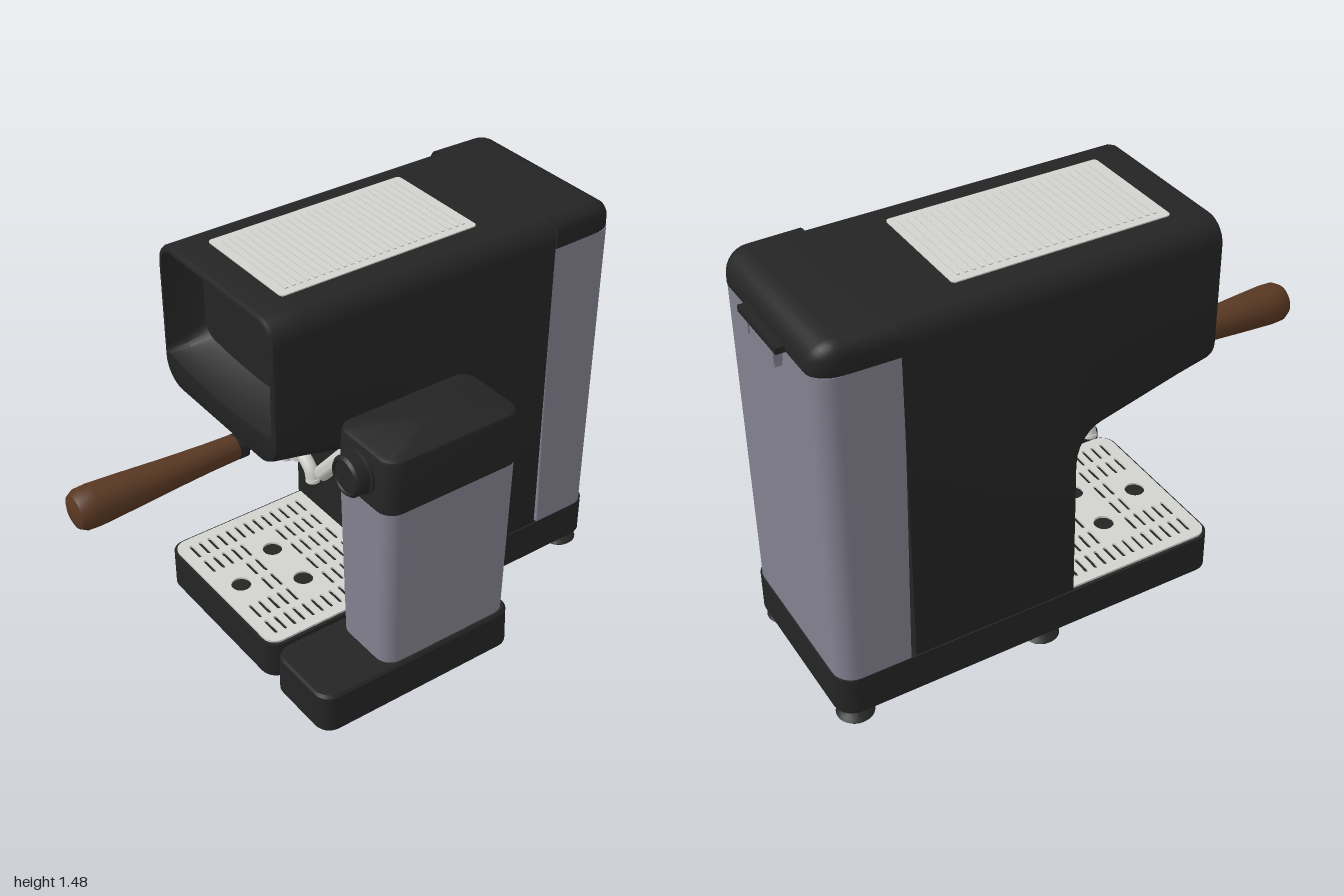
import * as THREE from 'three';
import { mergeGeometries, toCreasedNormals } from 'three/addons/utils/BufferGeometryUtils.js';

const mat = (name, color) => Object.assign(new THREE.MeshStandardMaterial({ color }), { name });

// Outline of a rounded rectangle, counter-clockwise; the bottom edge may sag
function outline(x0, x1, y0, y1, rTop, rBottom, sag = 0) {
  const most = Math.min(x1 - x0, y1 - y0) / 2;
  const rt = Math.min(rTop, most), rb = Math.min(rBottom, most), pts = [];
  const corner = (cx, cy, r, start) => {
    for (let i = 0; i <= 7; i++) {
      const a = start + (i / 7) * Math.PI / 2;
      pts.push([cx + r * Math.cos(a), cy + r * Math.sin(a)]);
    }
  };
  corner(x1 - rb, y0 + rb, rb, -Math.PI / 2);
  corner(x1 - rt, y1 - rt, rt, 0);
  corner(x0 + rt, y1 - rt, rt, Math.PI / 2);
  corner(x0 + rb, y0 + rb, rb, Math.PI);
  for (let i = 1; i < 10; i++) pts.push([x0 + rb + (x1 - x0 - 2 * rb) * i / 10, y0]);
  const cx = (x0 + x1) / 2, hw = (x1 - x0) / 2;
  return pts.map(([x, y]) => [x, y < (y0 + y1) / 2 ? y - sag * (1 - ((x - cx) / hw) ** 2) : y]);
}

// Skin over sections [z, x0, x1, y0, y1, rTop, rBottom, sag], closed at both ends
function loft(sections, crease = 0.6) {
  const pos = [], idx = [], rings = sections.map(([, ...s]) => outline(...s)), n = rings[0].length;
  rings.forEach((ring, i) => ring.forEach(([x, y]) => pos.push(x, y, sections[i][0])));
  for (let i = 0; i < rings.length - 1; i++) {
    for (let j = 0; j < n; j++) {
      const a = i * n + j, b = i * n + (j + 1) % n;
      idx.push(a, b, b + n, a, b + n, a + n);
    }
  }
  [0, rings.length - 1].forEach((i, end) => {
    const [z, x0, x1, y0, y1] = sections[i], c = pos.length / 3;
    pos.push((x0 + x1) / 2, (y0 + y1) / 2, z);
    for (let j = 0; j < n; j++) {
      const a = i * n + j, b = i * n + (j + 1) % n;
      idx.push(c, end ? a : b, end ? b : a);
    }
  });
  const g = new THREE.BufferGeometry();
  g.setAttribute('position', new THREE.Float32BufferAttribute(pos, 3));
  g.setIndex(idx);
  return toCreasedNormals(g, crease);
}

// Upright block from levels [y, x0, x1, z0, z1, rBack, rFront]
const tower = (levels) => loft(levels.map(([y, x0, x1, z0, z1, rb, rf]) =>
  [y, x0, x1, -z1, -z0, rb, rf])).rotateX(-Math.PI / 2);

const lathe = (pts, seg = 40) => toCreasedNormals(
  new THREE.LatheGeometry(pts.map(([r, y]) => new THREE.Vector2(r, y)), seg), 0.6);

const box = (w, h, d, x, y, z) => new THREE.BoxGeometry(w, h, d).translate(x, y, z);

// Crossed diagonal bars filling a rectangle on the underside
function lattice(x0, z0, nx, nz, cell) {
  const bars = [];
  for (let i = 0; i < nx; i++) for (let j = 0; j < nz; j++) for (const s of [-1, 1]) {
    bars.push(new THREE.BoxGeometry(cell * 1.4, 0.008, 0.01).rotateY(s * Math.PI / 4)
      .translate(x0 + (i + 0.5) * cell, 0.042, z0 + (j + 0.5) * cell));
  }
  return mergeGeometries(bars);
}

export function createModel() {
  const group = new THREE.Group();
  const black = mat('black', 0x242424), smoke = mat('smokyLavender', 0x838190);
  const metal = mat('paleMetal', 0xd2d2ce), wood = mat('walnut', 0x583722);
  const add = (name, geo, material, x = 0, y = 0, z = 0) => {
    const m = new THREE.Mesh(geo, material);
    m.name = name;
    m.position.set(x, y, z);
    group.add(m);
    return m;
  };
  const L = -0.5, R = 0.18, CX = -0.16, TOP = 1.475;

  // Column, overhanging head and the hollow at its front, in one skin
  const body = [[-0.7, L, R, 0.2, TOP, 0.08, 0.01], [-0.1, L, R, 0.2, TOP, 0.08, 0.01]];
  for (let i = 0; i <= 6; i++) {
    const a = (i / 6) * Math.PI / 2;
    body.push([-0.1 + 0.11 * (1 - Math.cos(a)), L, R, 0.73 + 0.12 * Math.sin(a), TOP, 0.08, 0.01 + 0.05 * i / 6]);
  }
  body.push(
    [0.3, L, R, 0.908, TOP, 0.08, 0.09], [0.415, L, R, 0.928, TOP, 0.08, 0.1],
    [0.427, L + 0.004, R - 0.004, 0.932, TOP - 0.004, 0.078, 0.098],
    [0.432, L + 0.012, R - 0.012, 0.94, TOP - 0.012, 0.07, 0.09],
    [0.432, L + 0.022, R - 0.022, 1.052, TOP - 0.022, 0.06, 0.02, 0.025],
    [0.36, L + 0.03, R - 0.03, 1.06, TOP - 0.03, 0.06, 0.03, 0.025],
    [0.3, L + 0.06, R - 0.06, 1.1, TOP - 0.05, 0.06, 0.05, 0.02]);
  add('bodyAndHead', loft(body), black);

  // Rear lid, rounded over the back
  const lid = [];
  for (let i = 0; i <= 8; i++) {
    const a = (i / 8) * Math.PI / 2, s = 1 - Math.sin(a), c = 1 - Math.cos(a);
    lid.push([-0.97 + 0.09 * c, L + 0.07 * s, R - 0.07 * s, 1.37, TOP - 0.08 * s, 0.08, 0.004]);
  }
  lid.push([-0.702, L - 0.004, R + 0.004, 1.37, TOP, 0.08, 0.004]);
  add('rearLid', loft(lid), black);

  // Water tank with its pull tab
  add('waterTank', tower([
    [0.2, L + 0.003, R - 0.003, -0.966, -0.716, 0.07, 0.004],
    [1.372, L, R, -0.968, -0.692, 0.07, 0.004]]), smoke);
  add('tankTab', mergeGeometries([box(0.2, 0.05, 0.025, -0.165, 1.325, -0.98),
    box(0.035, 0.05, 0.03, -0.255, 1.345, -0.982), box(0.035, 0.05, 0.03, -0.075, 1.345, -0.982)]), smoke);
  add('tabHinge', box(0.27, 0.022, 0.035, -0.165, 1.377, -0.9825), black);

  // Main base and feet
  add('base', tower([
    [0.045, L + 0.012, R - 0.012, -0.96, 0.468, 0.06, 0.05],
    [0.057, L, R, -0.972, 0.48, 0.07, 0.06],
    [0.2, L, R, -0.972, 0.48, 0.07, 0.06]]), black);
  const footShape = lathe([[0, 0], [0.058, 0], [0.065, 0.008], [0.055, 0.018], [0.032, 0.028], [0.03, 0.05]], 28);
  for (const x of [-0.435, 0.11]) {
    for (const z of [-0.19, -0.9]) add('foot', footShape, black, x, 0, z);
    add('frontStud', new THREE.CylinderGeometry(0.018, 0.018, 0.02, 16), black, x * 0.8, 0.04, 0.39);
  }
  add('baseLattice', lattice(-0.4, -0.08, 8, 8, 0.06), black);
  add('jugBaseLattice', lattice(0.255, 0.06, 4, 6, 0.045), black);

  // Drip tray grid with slots and three round drains
  const tray = new THREE.Shape(outline(L + 0.012, R - 0.012, -0.47, 0.1, 0.005, 0.05)
    .map(([x, y]) => new THREE.Vector2(x, y)));
  const drains = [[-0.26, 0.18], [-0.06, 0.18], [CX, 0.38]];
  for (const [x, z] of drains) {
    tray.holes.push(new THREE.Path().absarc(x, -z, 0.036, 0, Math.PI * 2, true));
  }
  for (let r = 0; r < 13; r++) for (let c = 0; c < 6; c++) {
    const x = CX + (c - 2.5) * 0.1, z = -0.05 + r * 0.039;
    if (drains.some(([dx, dz]) => Math.abs(dx - x) < 0.085 && Math.abs(dz - z) < 0.05)) continue;
    tray.holes.push(new THREE.Path(outline(x - 0.038, x + 0.038, -z - 0.007, -z + 0.007, 0.007, 0.007)
      .map(([px, py]) => new THREE.Vector2(px, py)).reverse()));
  }
  add('dripGrid', new THREE.ExtrudeGeometry(tray, { depth: 0.008, bevelEnabled: false, curveSegments: 20 })
    .rotateX(-Math.PI / 2), metal, 0, 0.2, 0);

  // Cup warmer plate with fine ridges
  add('warmerPlate', tower([
    [1.472, -0.38, 0.05, -0.465, 0.31, 0.015, 0.015],
    [1.479, -0.38, 0.05, -0.465, 0.31, 0.015, 0.015]]), metal);
  const ridges = [];
  for (let i = 0; i < 26; i++) ridges.push(box(0.37, 0.004, 0.012, -0.165, 1.48, -0.43 + i * 0.028));
  add('warmerRidges', mergeGeometries(ridges), metal);

  // Brew ring, filter basket and twin spout
  const BZ = 0.12;
  add('brewCollar', new THREE.CylinderGeometry(0.17, 0.17, 0.05, 48), black, CX, 0.92, BZ);
  add('brewRing', lathe([[0, 0.868], [0.195, 0.868], [0.21, 0.878], [0.212, 0.91], [0.2, 0.916], [0, 0.916]], 56),
    metal, CX, 0, BZ);
  add('filterBasket', lathe([[0, 0.735], [0.06, 0.74], [0.11, 0.755], [0.143, 0.785], [0.147, 0.87]], 48),
    metal, CX, 0, BZ);
  add('spoutStem', lathe([[0, 0.66], [0.036, 0.665], [0.036, 0.72], [0.045, 0.725], [0.045, 0.745]], 28), metal, CX, 0, BZ);
  const arch = new THREE.CatmullRomCurve3([[-0.082, 0.615], [-0.07, 0.65], [-0.035, 0.678], [0, 0.685],
    [0.035, 0.678], [0.07, 0.65], [0.082, 0.615]].map(([x, y]) => new THREE.Vector3(x, y, 0)));
  const spout = add('twinSpout', new THREE.TubeGeometry(arch, 40, 0.024, 14), metal, CX, 0, BZ);
  spout.material = metal;
  for (const s of [-1, 1]) {
    add('spoutTip', new THREE.CylinderGeometry(0.024, 0.026, 0.012, 16), metal, CX + s * 0.083, 0.615, BZ);
  }

  // Filter handle, pointing forward
  const forward = (pts) => lathe(pts, 32).rotateX(Math.PI / 2);
  add('handleLug', forward([[0, 0.2], [0.045, 0.2], [0.04, 0.28], [0, 0.28]]), metal, -0.152, 0.82, 0);
  add('handleCollar', forward([[0, 0.27], [0.03, 0.27], [0.03, 0.345], [0.045, 0.35], [0.045, 0.385], [0, 0.385]]),
    black, -0.152, 0.82, 0);
  add('handle', forward([[0, 0.37], [0.044, 0.375], [0.048, 0.5], [0.056, 0.65], [0.066, 0.8], [0.073, 0.92],
    [0.071, 0.965], [0.058, 0.988], [0.035, 0.997], [0, 1]]), wood, -0.152, 0.82, 0);

  // Steam wand leaning across to the milk jug
  const from = new THREE.Vector3(0.02, 0.71, 0.15), to = new THREE.Vector3(0.205, 0.93, 0.13);
  const wand = add('steamWand', lathe([[0, 0], [0.024, 0], [0.029, 0.008], [0.03, 0.29], [0, 0.29]], 24), metal);
  wand.position.copy(from);
  wand.quaternion.setFromUnitVectors(new THREE.Vector3(0, 1, 0), to.sub(from).normalize());

  // Milk jug: base, container, lid and front dial
  add('jugBase', tower([
    [0.042, 0.2, 0.49, -0.32, 0.47, 0.05, 0.05],
    [0.055, 0.19, 0.502, -0.33, 0.48, 0.06, 0.06],
    [0.195, 0.193, 0.5, -0.327, 0.478, 0.06, 0.06],
    [0.205, 0.2, 0.492, -0.32, 0.47, 0.055, 0.055]]), black);
  add('milkContainer', tower([
    [0.2, 0.212, 0.485, -0.315, 0.215, 0.06, 0.06],
    [0.852, 0.196, 0.496, -0.322, 0.225, 0.06, 0.06]]), smoke);
  add('jugLid', tower([
    [0.85, 0.195, 0.497, -0.324, 0.227, 0.06, 0.06],
    [1.032, 0.198, 0.494, -0.322, 0.222, 0.06, 0.06],
    [1.046, 0.203, 0.489, -0.317, 0.217, 0.055, 0.055],
    [1.053, 0.216, 0.476, -0.304, 0.204, 0.045, 0.045]]), black);
  add('jugDial', forward([[0, 0.2], [0.08, 0.2], [0.08, 0.232], [0.072, 0.236], [0.072, 0.278],
    [0.064, 0.288], [0.058, 0.288], [0.055, 0.282], [0, 0.282]]), black, 0.345, 0.953, 0);

  return group;
}
